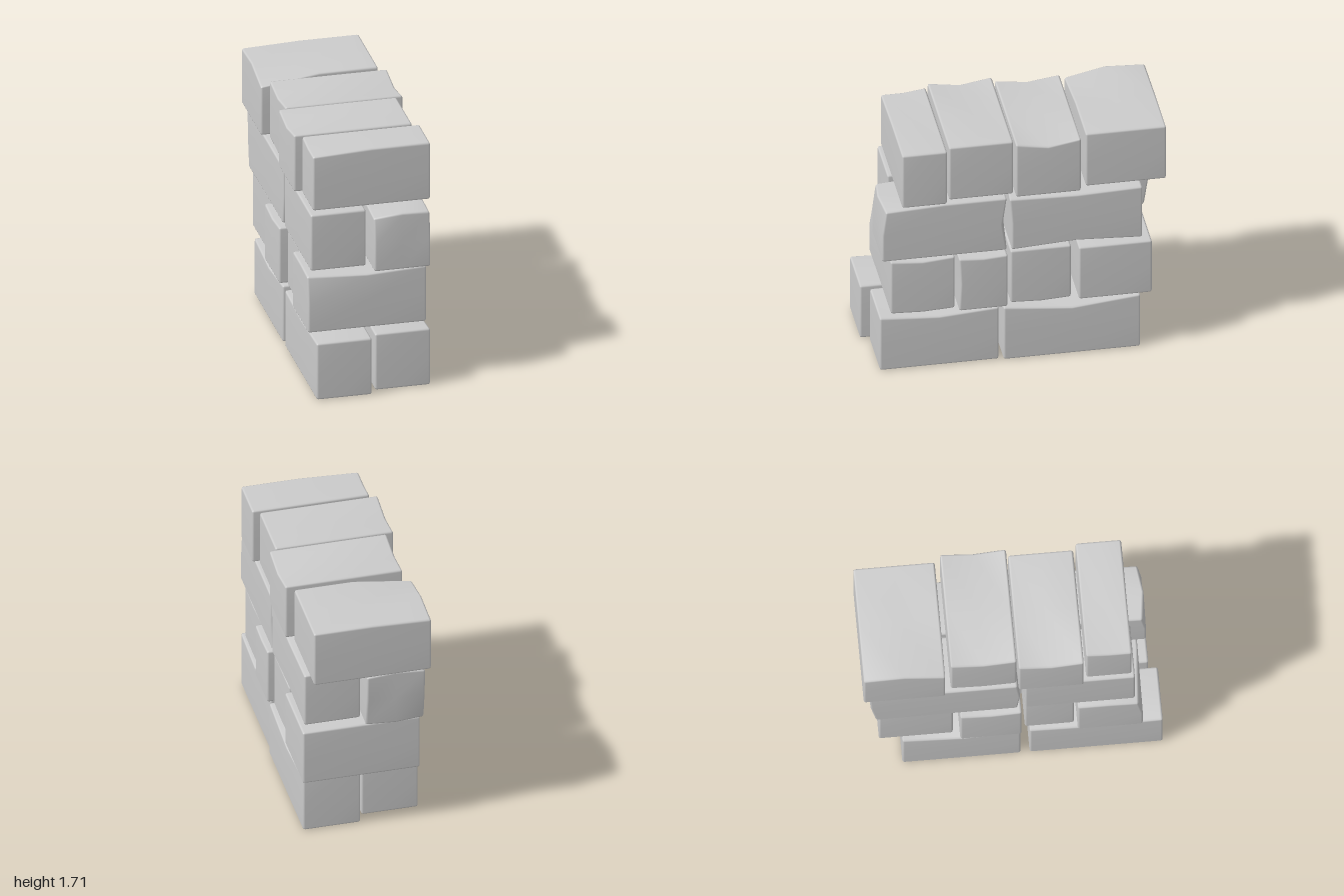
import * as THREE from 'three';
import { mergeVertices } from 'three/addons/utils/BufferGeometryUtils.js';

const BEVEL = 0.015;
const material = new THREE.MeshStandardMaterial({ color: 0xcccccc });

// Weight of a control point at sign s (-1, 0 or 1) for a coordinate u in -1..1
const hat = (s, u) => (s === 0 ? 1 - Math.abs(u) : Math.max(0, s * u));

// Rounded brick between given limits; each dent moves one corner or mid-edge:
// [signX, signY, signZ, dx, dy, dz]
function brick(name, [x0, x1], [y0, y1], [z0, z1], dents = []) {
  const half = [(x1 - x0) / 2, (y1 - y0) / 2, (z1 - z0) / 2];
  let geo = new THREE.BoxGeometry(2, 2, 2, 4, 4, 4);
  geo.deleteAttribute('normal');
  geo.deleteAttribute('uv');
  geo = mergeVertices(geo);
  const pos = geo.attributes.position;
  const p = new THREE.Vector3(), inner = new THREE.Vector3();
  for (let i = 0; i < pos.count; i++) {
    // place the grid lines at the ends, the bevel starts and the middle
    const grid = [pos.getX(i), pos.getY(i), pos.getZ(i)].map((g, k) => {
      const a = Math.abs(g);
      return Math.sign(g) * (a > 0.9 ? half[k] : a > 0.1 ? half[k] - BEVEL : 0);
    });
    p.fromArray(grid);
    inner.fromArray(grid.map((g, k) => THREE.MathUtils.clamp(g, BEVEL - half[k], half[k] - BEVEL)));
    p.sub(inner).setLength(BEVEL).add(inner);
    // worn, uneven edges
    const u = grid.map((g, k) => g / half[k]);
    for (const [sx, sy, sz, dx, dy, dz] of dents) {
      const w = hat(sx, u[0]) * hat(sy, u[1]) * hat(sz, u[2]);
      p.x += w * dx;
      p.y += w * dy;
      p.z += w * dz;
    }
    pos.setXYZ(i, p.x, p.y, p.z);
  }
  geo.computeVertexNormals();
  const mesh = new THREE.Mesh(geo, material);
  mesh.name = name;
  mesh.position.set((x0 + x1) / 2, (y0 + y1) / 2, (z0 + z1) / 2);
  return mesh;
}

export function createModel() {
  const wall = new THREE.Group();
  wall.name = 'brickWall';

  const course = (name, y, bricks) => {
    const g = new THREE.Group();
    g.name = name;
    for (const [label, x, z, dents] of bricks) g.add(brick(label, x, y, z, dents));
    wall.add(g);
  };

  // Long bricks laid along the wall, two side by side
  course('bottomCourse', [0.005, 0.417], [
    ['leftFrontBrick', [0.01, 0.39], [0.135, 0.94], [[1, 1, 0, 0, -0.03, 0]]],
    ['leftBackBrick', [0.01, 0.405], [-0.82, 0.105], [[1, 1, 0, 0, -0.05, 0]]],
    ['rightFrontBrick', [-0.405, -0.025], [0.11, 1.0], [[-1, 1, 0, 0, -0.02, 0]]],
    ['rightBackBrick', [-0.405, -0.015], [-0.74, 0.05], [
      [-1, 1, 0, 0, -0.04, 0], [1, 1, -1, 0, 0.01, 0],
    ]],
  ]);

  // Bricks laid across the wall, staggered sideways
  course('secondCourse', [0.437, 0.847], [
    ['crossBrick1', [-0.43, 0.38], [0.43, 0.865], [
      [1, 1, 0, 0, -0.02, 0], [0, 1, 1, 0, -0.02, 0], [1, -1, 0, 0, -0.01, 0], [-1, 1, 1, 0, -0.01, -0.03],
    ]],
    ['crossBrick2', [-0.38, 0.425], [0.08, 0.41], [[1, 1, 0, 0, -0.012, 0], [1, 0, 1, 0, 0, -0.01]]],
    ['crossBrick3', [-0.43, 0.385], [-0.355, 0.055], [[1, -1, 0, 0, -0.01, 0], [-1, 1, 0, 0, -0.02, 0]]],
    ['crossBrick4', [-0.38, 0.425], [-0.895, -0.4]],
  ]);

  // Long bricks along the wall, with bowed ends
  course('thirdCourse', [0.865, 1.275], [
    ['leftFrontBrick', [0.01, 0.395], [0.08, 0.925], [
      [1, 1, 1, 0, -0.02, -0.025], [-1, 1, 1, 0, -0.03, -0.025], [1, 0, -1, 0, 0, 0.03],
    ]],
    ['leftBackBrick', [0.015, 0.4], [-0.835, 0.05], [
      [1, 1, 0, 0, -0.025, 0], [1, -1, 0, 0, 0.025, 0], [1, 1, -1, 0, -0.01, 0], [1, 1, 1, 0, -0.01, 0.015],
    ]],
    ['rightFrontBrick', [-0.4, -0.02], [0.08, 0.815]],
    ['rightBackBrick', [-0.4, 0], [-0.95, 0.03], [
      [-1, 1, -1, 0, -0.01, -0.01], [1, 1, -1, 0, -0.01, -0.01],
      [-1, -1, -1, 0, -0.01, 0.035], [1, -1, -1, 0, -0.01, 0.035], [-1, 0, 1, 0, 0, 0.02],
    ]],
  ]);

  // Staggered cross bricks on top
  course('topCourse', [1.295, 1.71], [
    ['crossBrick1', [-0.38, 0.425], [0.49, 0.795], [[-1, 1, 0, 0, -0.02, 0], [-1, 1, 1, 0, -0.02, 0]]],
    ['crossBrick2', [-0.43, 0.38], [0.035, 0.47], [[-1, 1, 0, 0, -0.035, 0]]],
    ['crossBrick3', [-0.38, 0.425], [-0.415, 0.025], [
      [1, 1, 0, 0, -0.04, 0], [-1, 1, 0, 0, -0.03, 0], [-1, -1, 0, 0, -0.015, 0],
    ]],
    ['crossBrick4', [-0.43, 0.375], [-1, -0.455], [[-1, 1, 1, 0, -0.06, 0], [-1, 1, -1, 0, -0.015, 0]]],
  ]);

  return wall;
}
